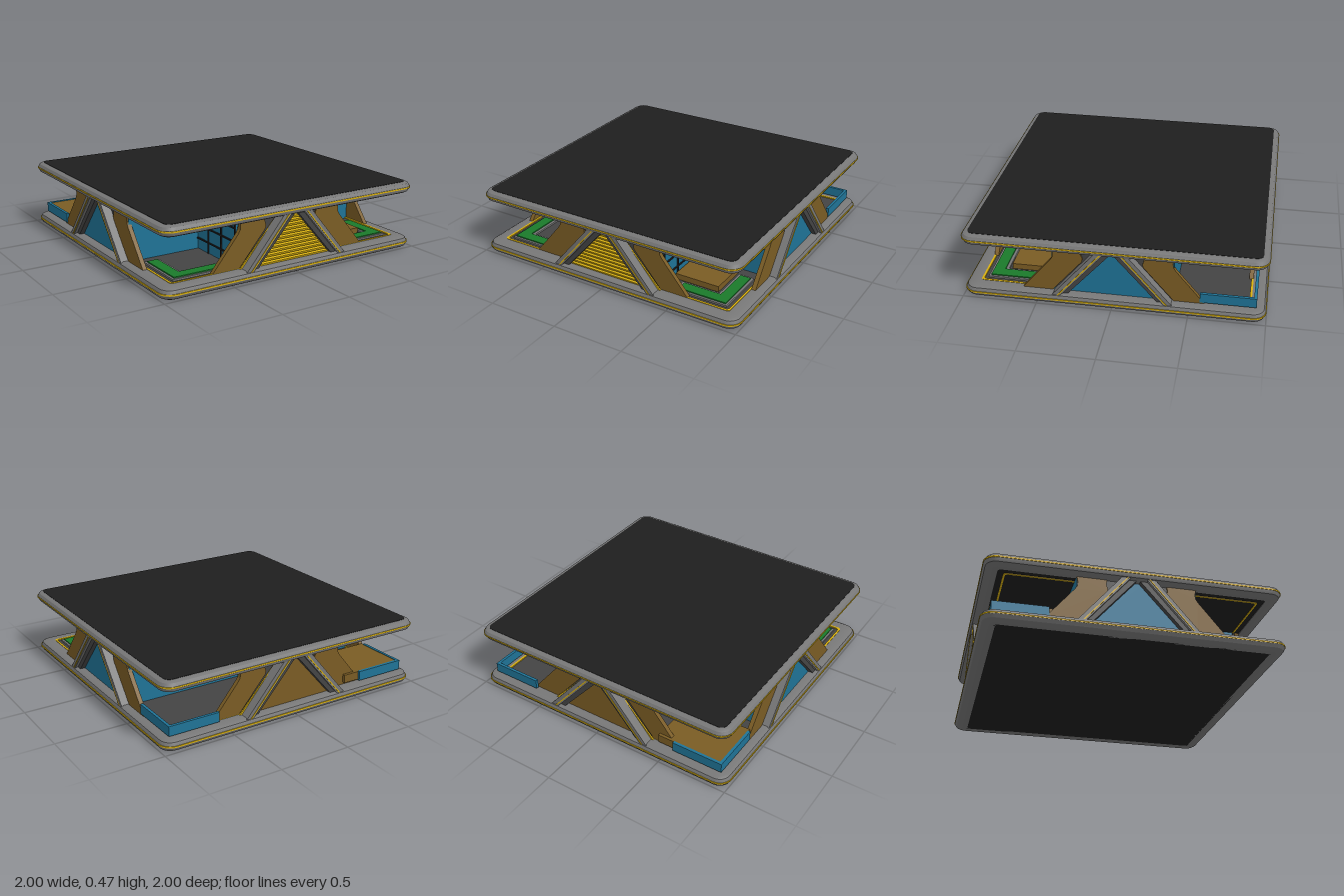
import * as THREE from 'three';
import { toCreasedNormals } from 'three/addons/utils/BufferGeometryUtils.js';

const mat = (color) => new THREE.MeshStandardMaterial({ color, side: THREE.DoubleSide });
const grey = mat(0x777777), dark = mat(0x1e1e1e), floorGrey = mat(0x444444);
const yellow = mat(0xd8b010), blue = mat(0x1f7396), wood = mat(0x7a5c24), green = mat(0x1a7a2a);

function add(parent, name, geometry, material) {
  const mesh = new THREE.Mesh(geometry, material);
  mesh.name = name;
  parent.add(mesh);
  return mesh;
}

// Box given by its limits
function box(parent, name, material, x0, x1, y0, y1, z0, z1) {
  const g = new THREE.BoxGeometry(Math.abs(x1 - x0), y1 - y0, Math.abs(z1 - z0));
  g.translate((x0 + x1) / 2, (y0 + y1) / 2, (z0 + z1) / 2);
  return add(parent, name, g, material);
}

// Outline in x/y, extruded from z0 to z1
function plate(parent, name, material, pts, z0, z1) {
  const shape = new THREE.Shape(pts.map(([x, y]) => new THREE.Vector2(x, y)));
  const g = new THREE.ExtrudeGeometry(shape, { depth: z1 - z0, bevelEnabled: false });
  g.translate(0, 0, z0);
  return add(parent, name, g, material);
}

// Sweeps a [half width, height] profile round a square with rounded corners
function squareLoft(profile) {
  const pos = [], index = [], steps = 6, n = 4 * (steps + 1);
  for (const [h, y] of profile) {
    const r = h === 0 ? 0 : Math.max(0.02, 0.09 - (1 - h));
    for (let c = 0; c < 4; c++) {
      for (let k = 0; k <= steps; k++) {
        const a = (c + k / steps) * Math.PI / 2;
        const sx = c === 0 || c === 3 ? 1 : -1, sy = c < 2 ? 1 : -1;
        pos.push(sx * (h - r) + r * Math.cos(a), y, -(sy * (h - r) + r * Math.sin(a)));
      }
    }
  }
  for (let j = 0; j < profile.length - 1; j++) {
    for (let i = 0; i < n; i++) {
      const a = j * n + i, b = j * n + (i + 1) % n;
      index.push(a, b, b + n, a, b + n, a + n);
    }
  }
  const g = new THREE.BufferGeometry();
  g.setAttribute('position', new THREE.Float32BufferAttribute(pos, 3));
  g.setIndex(index);
  return toCreasedNormals(g, 0.5);
}

const slabFill = (h, y0, y1) => squareLoft([[0, y0], [h, y0], [h, y1], [0, y1]]);
const ring = (h0, h1, y0, y1) =>
  squareLoft([[h0, y0], [h1, y0], [h1, y1], [h0, y1], [h0, y0]]);

function addSlabs(root) {
  const rim = [[0.9, 0], [0.965, 0], [0.985, 0.01], [0.997, 0.03],
    [0.997, 0.04], [0.985, 0.065], [0.965, 0.075], [0.9, 0.075], [0.9, 0]];
  // Floor slab
  add(root, 'floorRim', squareLoft(rim), grey);
  add(root, 'floorStripe', ring(0.98, 1, 0.034, 0.044), yellow);
  add(root, 'floorUnderside', slabFill(0.93, -0.001 + 0.001, 0.02), dark).scale.set(0.98, 1, 0.98);
  add(root, 'floorSurface', slabFill(0.91, 0.03, 0.07), floorGrey);
  add(root, 'floorTrim', ring(0.885, 0.9, 0.06, 0.078), yellow);
  // Roof slab
  const roof = rim.map(([h, y]) => [h, 0.47 - y]).reverse();
  add(root, 'roofRim', squareLoft(roof), grey);
  add(root, 'roofStripe', ring(0.98, 1, 0.429, 0.439), yellow);
  add(root, 'roofTop', slabFill(0.955, 0.44, 0.472), dark);
  add(root, 'ceiling', slabFill(0.91, 0.4, 0.43), dark);
  add(root, 'ceilingTrim', ring(0.85, 0.862, 0.396, 0.402), yellow);
}

// One facade: A-shaped brace, centre infill and two slanted wood panels
function makeFacade(kind, panelZ) {
  const side = new THREE.Group();
  const infill = [[-0.33, 0.06], [0.33, 0.06], [0.05, 0.4], [-0.05, 0.4]];
  if (kind === 'louvre') {
    plate(side, 'louvreBacking', dark, infill, 0.9, 0.915);
    for (let i = 0; i < 12; i++) {
      const y = 0.085 + i * 0.026, w = 0.325 - (y - 0.06) * 0.82;
      const slat = box(side, 'louvreSlat', yellow, -w, w, -0.008, 0.008, -0.012, 0.012);
      slat.position.set(0, y, 0.925);
      slat.rotation.x = 0.35;
    }
  } else {
    plate(side, 'centrePanel', kind === 'glass' ? blue : wood, infill, 0.905, 0.925);
  }
  for (const s of [-1, 1]) {
    const m = (pts) => pts.map(([x, y]) => [s * x, y]);
    // Brace leg, stepped back on its inner edge, with a stripe
    plate(side, 'braceLeg', grey, m([[0.41, 0.05], [0.355, 0.05], [0.03, 0.43], [0.09, 0.43]]), 0.91, 0.98);
    plate(side, 'braceInnerStep', floorGrey, m([[0.36, 0.05], [0.315, 0.05], [0, 0.41], [0, 0.43], [0.035, 0.43]]), 0.91, 0.96);
    plate(side, 'braceStripe', yellow, m([[0.382, 0.045], [0.372, 0.045], [0.045, 0.43], [0.055, 0.43]]), 0.975, 0.984);
    plate(side, 'braceBackStripe', yellow, m([[0.41, 0.07], [0.39, 0.07], [0.08, 0.41], [0.1, 0.41]]), 0.905, 0.915);
    // Kinked wood panel with a dark inner return
    plate(side, 'woodPanel', wood, m([[0.4, 0.075], [0.6, 0.075], [0.41, 0.305], [0.395, 0.33],
      [0.392, 0.36], [0.4, 0.4], [0.2, 0.4], [0.205, 0.36], [0.195, 0.33], [0.2, 0.31]]), panelZ, panelZ + 0.03);
    plate(side, 'panelReturn', floorGrey, m([[0.41, 0.075], [0.35, 0.075], [0.06, 0.4], [0.21, 0.4], [0.21, 0.3]]), panelZ, panelZ + 0.02);
  }
  return side;
}

function addGlassWalls(root) {
  box(root, 'rearGlassWall', blue, -0.92, 0.92, 0.07, 0.4, -0.4, -0.385);
  for (const s of [-1, 1]) {
    box(root, 'frontGlassWall', blue, s * 0.4, s * 0.92, 0.07, 0.4, 0.385, 0.4);
    box(root, 'sideGlassWall', blue, s * 0.385, s * 0.4, 0.07, 0.4, 0.385, 0.86);
    for (const y of [0.145, 0.24, 0.33])
      box(root, 'windowBar', dark, s * 0.39, s * 0.408, y - 0.005, y + 0.005, 0.4, 0.86);
    for (const z of [0.535, 0.69, 0.855])
      box(root, 'windowPost', dark, s * 0.39, s * 0.408, 0.07, 0.4, z - 0.005, z + 0.005);
  }
}

// L-shaped strip along the two outer edges of a corner
function cornerStrip(root, name, material, sx, sz, start, outer, width, y0, y1) {
  const inner = outer - width;
  box(root, name, material, sx * start, sx * outer, y0, y1, sz * inner, sz * outer);
  box(root, name, material, sx * inner, sx * outer, y0, y1, sz * start, sz * inner);
}

function addCorners(root) {
  for (const s of [-1, 1]) {
    // Front planters
    cornerStrip(root, 'planterEdge', grey, s, 1, 0.48, 0.86, 0.11, 0.07, 0.082);
    cornerStrip(root, 'planting', green, s, 1, 0.5, 0.845, 0.075, 0.07, 0.09);
    // Rear terrace railings
    cornerStrip(root, 'terraceRail', blue, s, -1, 0.57, 0.935, 0.02, 0.085, 0.152);
  }
  // Wood decks
  box(root, 'frontDeck', wood, 0.41, 0.73, 0.07, 0.11, 0.41, 0.73);
  box(root, 'rearDeck', wood, -0.92, -0.45, 0.09, 0.148, -0.92, -0.55);
}

export function createModel() {
  const root = new THREE.Group();
  root.name = 'buildingFloor';
  addSlabs(root);
  const facades = [['front', 'louvre', 0.87], ['left', 'glass', 0.9], ['back', 'wood', 0.87], ['right', 'glass', 0.9]];
  facades.forEach(([name, kind, panelZ], i) => {
    const facade = makeFacade(kind, panelZ);
    facade.name = name + 'Facade';
    facade.rotation.y = i * Math.PI / 2;
    root.add(facade);
  });
  addGlassWalls(root);
  addCorners(root);
  return root;
}
